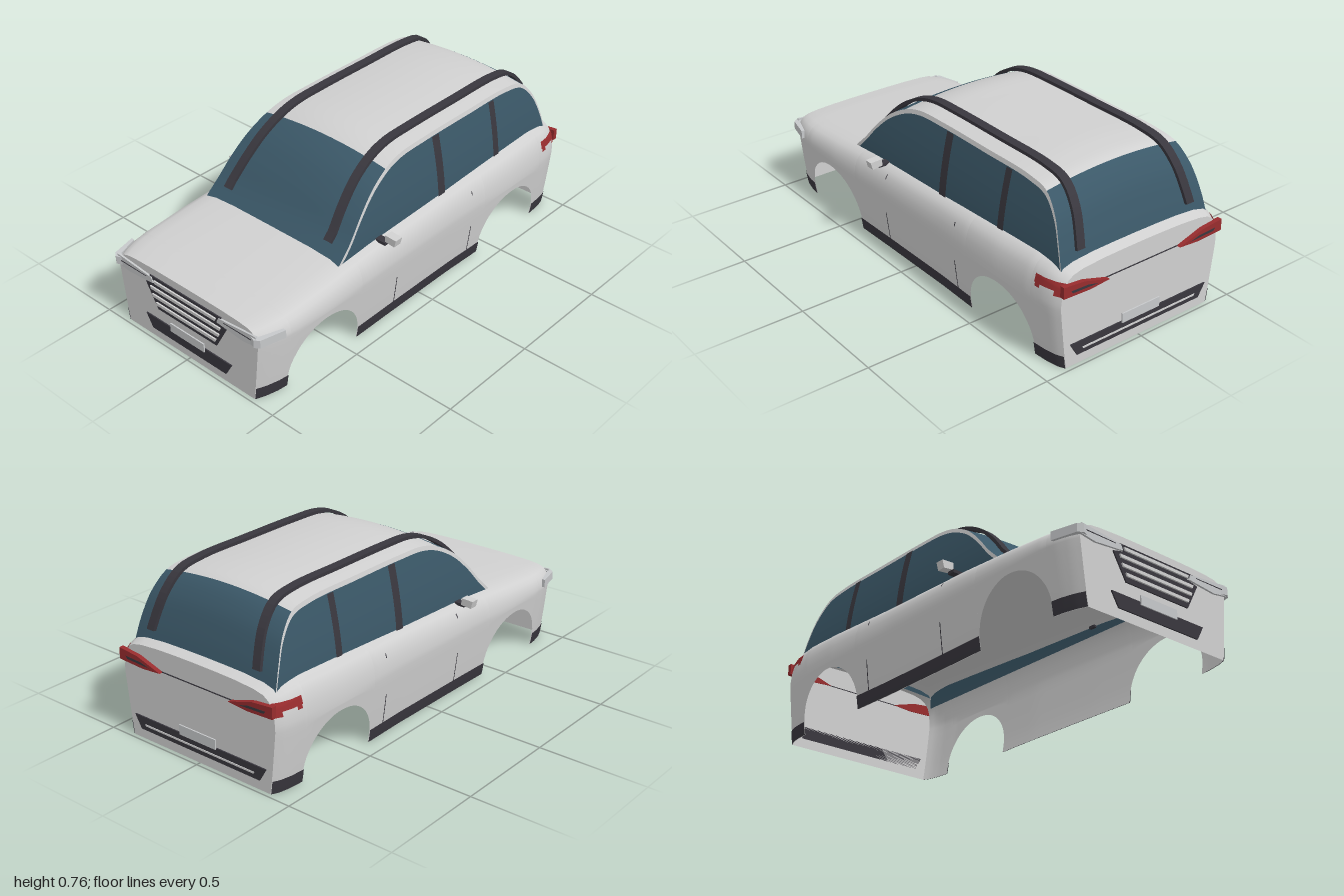
import * as THREE from 'three';

const mat = (name, color, side = THREE.DoubleSide) => {
  const m = new THREE.MeshStandardMaterial({ color, side });
  m.name = name;
  return m;
};

// Piecewise linear lookup in [[z, value], ...] with z descending
function lookup(table, z) {
  for (let i = 1; i < table.length; i++) {
    const [z0, a] = table[i - 1], [z1, b] = table[i];
    if (z >= z1) return THREE.MathUtils.lerp(a, b, THREE.MathUtils.clamp((z0 - z) / (z0 - z1), 0, 1));
  }
  return table[table.length - 1][1];
}

// Smooth surface through rows of [x, y, z] points
function loft(rows) {
  const n = rows[0].length, index = [];
  for (let i = 0; i < rows.length - 1; i++) {
    for (let j = 0; j < n - 1; j++) {
      const a = i * n + j, b = a + n;
      index.push(a, a + 1, b, b, a + 1, b + 1);
    }
  }
  const g = new THREE.BufferGeometry();
  g.setAttribute('position', new THREE.Float32BufferAttribute(rows.flat(2), 3));
  g.setIndex(index);
  g.computeVertexNormals();
  return g;
}

// Lower body: width and deck height along z, and the shoulder curve
const WIDTH = [[0.98, 0.412], [0.94, 0.43], [0.88, 0.446], [0.8, 0.455], [0.6, 0.459], [0.2, 0.453],
  [-0.2, 0.45], [-0.6, 0.459], [-0.8, 0.455], [-0.9, 0.447], [-0.95, 0.436], [-0.98, 0.42]];
const DECK = [[0.98, 0.365], [0.9, 0.376], [0.8, 0.385], [0.5, 0.412], [0.3, 0.43], [-0.3, 0.455],
  [-0.8, 0.478], [-0.9, 0.472], [-0.98, 0.447]];
const SHOULDER = [[1, 0.15], [0.99, 0.38], [0.965, 0.6], [0.925, 0.76], [0.86, 0.87], [0.74, 0.935],
  [0.5, 0.98], [0.25, 0.995], [0, 1]];
const WAIST = 0.28, ARCH_Z = [0.625, -0.622], ARCH_R = 0.208, ARCH_Y = 0.042;

const sideX = (y, z) => {
  const W = lookup(WIDTH, z);
  if (y <= WAIST) return W * (0.92 + 0.08 * Math.pow(y / WAIST, 0.85));
  const f = (y - WAIST) / (lookup(DECK, z) - WAIST);
  let p = [1, 0];
  for (const q of SHOULDER) {
    if (f <= q[1]) return W * THREE.MathUtils.lerp(p[0], q[0], (f - p[1]) / (q[1] - p[1]));
    p = q;
  }
  return 0;
};

function section(z, bottom) {
  const half = [];
  for (let i = 0; i <= 7; i++) {
    const y = THREE.MathUtils.lerp(bottom, WAIST, i / 7);
    half.push([sideX(y, z), y, z]);
  }
  const W = lookup(WIDTH, z), H = lookup(DECK, z);
  for (const [fx, fy] of SHOULDER) half.push([W * fx, WAIST + (H - WAIST) * fy, z]);
  return [...half, ...half.slice(0, -1).reverse().map(([x, y, zz]) => [-x, y, zz])];
}

// Cabin: centre line from windscreen base over the roof to the tailgate
const cabinCurve = new THREE.CatmullRomCurve3([[0.5, 0.4], [0.42, 0.48], [0.34, 0.575], [0.25, 0.66],
  [0.15, 0.718], [0.05, 0.745], [-0.1, 0.752], [-0.4, 0.753], [-0.68, 0.75], [-0.79, 0.728],
  [-0.86, 0.655], [-0.91, 0.54], [-0.94, 0.44]].map(([z, y]) => new THREE.Vector3(0, y, z)));
const cabin = cabinCurve.getSpacedPoints(100);
const cabinX = y => 0.392 - 0.056 * Math.pow(Math.max(0, (y - 0.38) / 0.345), 1.6);
const crown = y => 0.012 + 0.016 * THREE.MathUtils.clamp((y - 0.4) / 0.3, 0, 1);
const edgeY = p => p.y - crown(p.y);

export function createModel() {
  const model = new THREE.Group();
  model.name = 'car';
  const paint = mat('body paint', 0xd0d0d0), glass = mat('glass', 0x3b5868);
  const trim = mat('dark trim', 0x39373e), red = mat('tail light red', 0x982c2e);
  const lamp = mat('lamp grey', 0xc6c8ca);
  const add = (name, geo, material) => {
    const m = new THREE.Mesh(geo, material);
    m.name = name;
    model.add(m);
    return m;
  };
  // Flat plate in the xy plane with its outer face at z
  const plate = (name, pts, z, material, thick = 0.006) => {
    const g = new THREE.ExtrudeGeometry(new THREE.Shape(pts.map(p => new THREE.Vector2(...p))),
      { depth: thick, bevelEnabled: false });
    g.translate(0, 0, z > 0 ? z - thick : z);
    return add(name, g, material);
  };
  const trapezoid = (wTop, yTop, wBottom, yBottom) =>
    [[-wBottom, yBottom], [wBottom, yBottom], [wTop, yTop], [-wTop, yTop]];

  // Body shell with the wheel arches as its lower edge
  const stations = [];
  const run = (a, b, n) => {
    for (let i = 0; i <= n; i++) stations.push([THREE.MathUtils.lerp(a, b, i / n), 0]);
  };
  const arch = c => {
    for (let i = 0; i <= 28; i++) {
      const t = Math.PI * i / 28;
      stations.push([c + ARCH_R * Math.cos(t), ARCH_Y + ARCH_R * Math.sin(t)]);
    }
  };
  const spans = [[0.98, ARCH_Z[0] + ARCH_R], [ARCH_Z[0] - ARCH_R, ARCH_Z[1] + ARCH_R], [ARCH_Z[1] - ARCH_R, -0.98]];
  run(...spans[0], 8);
  arch(ARCH_Z[0]);
  run(...spans[1], 24);
  arch(ARCH_Z[1]);
  run(...spans[2], 8);
  add('bodyShell', loft(stations.map(([z, y]) => section(z, y))), paint);
  for (const [name, z] of [['frontPanel', 0.98], ['rearPanel', -0.98]]) {
    const outline = new THREE.Shape(section(z, 0).map(([x, y]) => new THREE.Vector2(x, y)));
    add(name, new THREE.ShapeGeometry(outline).translate(0, 0, z), paint);
  }

  // Roof, windscreen and rear window share one crowned surface
  const across = p => Array.from({ length: 17 }, (_, i) => {
    const u = i / 8 - 1;
    return [u * cabinX(edgeY(p)), p.y - crown(p.y) * u * u, p.z];
  });
  const i0 = cabin.findIndex(p => p.z < 0.16), i1 = cabin.findIndex(p => p.z < -0.785);
  add('windscreen', loft(cabin.slice(0, i0 + 1).map(across)), glass);
  add('roof', loft(cabin.slice(i0, i1 + 1).map(across)), paint);
  add('rearWindow', loft(cabin.slice(i1).map(across)), glass);

  for (const s of [1, -1]) {
    const side = s > 0 ? 'left' : 'right';
    // Cabin side: glass below, painted frame along the roof edge
    const column = (z, lo, hi, out = 0) => Array.from({ length: 9 }, (_, k) => {
      const y = THREE.MathUtils.lerp(lo, hi, k / 8);
      return [s * (cabinX(y) + out), y, z];
    });
    const glassTop = p => Math.max(0.375, edgeY(p) - 0.02);
    add(side + 'SideGlass', loft(cabin.map(p => column(p.z, 0.37, glassTop(p)))), glass);
    add(side + 'WindowFrame', loft(cabin.map(p => column(p.z, glassTop(p), edgeY(p)))), paint);
    for (const [a, b] of [[-0.15, -0.195], [-0.545, -0.582]])
      add(side + 'WindowPillar', loft([a, b].map(z => column(z, 0.4, 0.705, 0.004))), trim);

    // Roof rail: raised strip following the cabin line
    const rail = [];
    for (let i = 0; i <= 70; i++) {
      const t = 0.045 + 0.92 * i / 70;
      const p = cabinCurve.getPointAt(t), d = cabinCurve.getTangentAt(t);
      const x = 0.255 + 0.04 * THREE.MathUtils.clamp((0.75 - p.y) / 0.26, 0, 1);
      const y = p.y - crown(p.y) * Math.pow(x / cabinX(edgeY(p)), 2);
      const at = (dx, h) => [s * (x + dx), y - d.z * h, p.z + d.y * h];
      rail.push([at(-0.02, 0.006), at(-0.02, 0.021), at(0.02, 0.021), at(0.02, 0.006), at(-0.02, 0.006)]);
    }
    const railGeo = loft(rail).toNonIndexed();
    railGeo.computeVertexNormals();
    add(side + 'RoofRail', railGeo, trim);

    // Strip laid on the body side
    const skin = (name, z0, z1, y0, y1, out, material, n = 8) => {
      const rows = [];
      for (let i = 0; i <= n; i++) {
        const z = THREE.MathUtils.lerp(z0, z1, i / n);
        rows.push(Array.from({ length: 7 }, (_, k) => {
          const y = THREE.MathUtils.lerp(y0, y1, k / 6);
          return [s * (sideX(y, z) + out), y, z];
        }));
      }
      add(side + name, loft(rows), material);
    };
    for (const [a, b] of spans) skin('Sill', a, b, 0, 0.06, 0.003, trim, 12);
    for (const z of [0.183, -0.327]) {
      skin('DoorGap', z + 0.0025, z - 0.0025, 0.04, 0.2, 0.003, trim, 1);
      skin('DoorGapTop', z + 0.0025, z - 0.0025, 0.365, 0.385, 0.003, trim, 1);
    }

    // Tail light: side wrap and rear wedge
    skin('TailLightSide', -0.85, -0.98, 0.365, 0.4, 0.005, red);
    skin('TailLightHook', -0.95, -0.98, 0.345, 0.366, 0.005, red, 3);
    skin('TailLightTip', -0.855, -0.88, 0.35, 0.366, 0.005, red, 3);
    plate(side + 'TailLight', [[0.425, 0.4], [0.32, 0.39], [0.19, 0.35], [0.29, 0.342], [0.425, 0.348]]
      .map(([x, y]) => [s * x, y]), -1, red, 0.022);
    plate(side + 'TailLightInsert', [[0.39, 0.372], [0.3, 0.368], [0.25, 0.355], [0.38, 0.36]]
      .map(([x, y]) => [s * x, y]), -1.0005, trim, 0.004);

    // Headlight: front wedge with a dark slit and a wrapped corner lens
    plate(side + 'Headlight', [[0.2, 0.322], [0.41, 0.342], [0.42, 0.295], [0.34, 0.283], [0.19, 0.297]]
      .map(([x, y]) => [s * x, y]), 0.99, lamp, 0.009);
    plate(side + 'HeadlightSlit', [[0.23, 0.3165], [0.39, 0.3185], [0.39, 0.315], [0.23, 0.3145]]
      .map(([x, y]) => [s * x, y]), 0.992, trim, 0.003);
    const lens = new THREE.Shape([[0.37, 0.985], [0.41, 1], [0.432, 0.985], [0.46, 0.87], [0.445, 0.87], [0.41, 0.97]]
      .map(([x, z]) => new THREE.Vector2(s * x, -z)));
    const lensGeo = new THREE.ExtrudeGeometry(lens, { depth: 0.038, bevelEnabled: false });
    add(side + 'HeadlightCorner', lensGeo.rotateX(-Math.PI / 2).translate(0, 0.295, 0), lamp);

    // Door mirror
    const housing = new THREE.Shape([[0.435, 0.418], [0.486, 0.412], [0.495, 0.447], [0.437, 0.45]]
      .map(([x, y]) => new THREE.Vector2(s * x, y)));
    const housingGeo = new THREE.ExtrudeGeometry(housing, { depth: 0.04, bevelEnabled: false });
    add(side + 'MirrorHousing', housingGeo.translate(0, 0, 0.215), paint);
    add(side + 'MirrorArm', new THREE.BoxGeometry(0.065, 0.014, 0.035).translate(s * 0.41, 0.41, 0.245), trim);
  }

  // Front grille with bars, lower intake and plate
  plate('grille', [[-0.175, 0.167], [0.175, 0.167], [0.24, 0.283], [0.18, 0.297], [0.215, 0.327],
    [-0.215, 0.327], [-0.18, 0.297], [-0.24, 0.283]], 0.986, trim);
  for (const [w, y] of [[0.185, 0.307], [0.21, 0.27], [0.2, 0.233], [0.18, 0.197]])
    plate('grilleBar', trapezoid(w, y + 0.007, w - 0.006, y - 0.007), 0.993, paint, 0.008);
  plate('lowerIntake', trapezoid(0.258, 0.107, 0.222, 0.044), 0.986, trim);
  plate('frontPlate', trapezoid(0.102, 0.134, 0.102, 0.092), 0.991, lamp);

  // Rear bumper insert and plate
  plate('rearBumperInsert', trapezoid(0.37, 0.105, 0.335, 0.045), -0.986, trim);
  plate('rearBumperSlot', trapezoid(0.31, 0.074, 0.305, 0.066), -0.989, paint);
  plate('rearPlate', trapezoid(0.102, 0.145, 0.102, 0.1), -0.991, lamp);
  plate('tailgateLine', trapezoid(0.22, 0.352, 0.22, 0.348), -0.983, trim, 0.004);
  return model;
}
